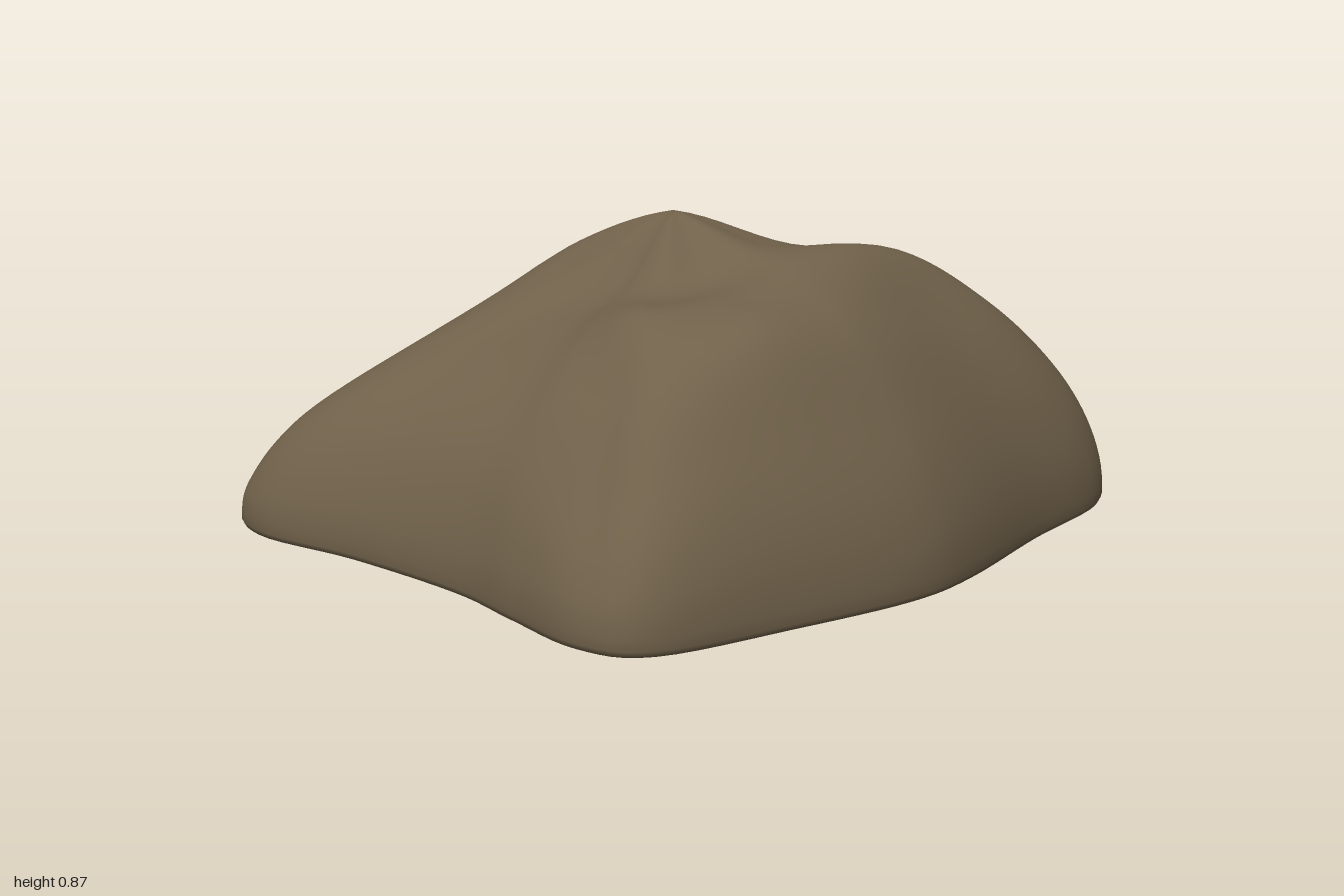
import * as THREE from 'three';
import { mergeVertices } from 'three/addons/utils/BufferGeometryUtils.js';

const PEAK = { x: -0.125, y: 0.865, z: 0.13 };

// One spoke per row, anticlockwise from the front: rim x, rim z, then heights from the peak outwards
const SPOKES = [
  [-0.04, 0.99, 0.785, 0.745, 0.61, 0.41],
  [0.35, 0.975, 0.78, 0.77, 0.60, 0.41],
  [0.72, 0.975, 0.77, 0.75, 0.60, 0.41],
  [0.89, 0.87, 0.76, 0.71, 0.57, 0.40],
  [0.905, 0.64, 0.755, 0.59, 0.52, 0.39],
  [0.86, 0.42, 0.75, 0.55, 0.50, 0.40],
  [0.90, 0.22, 0.755, 0.63, 0.57, 0.43],
  [0.985, 0.00, 0.74, 0.685, 0.585, 0.39],
  [0.99, -0.17, 0.73, 0.665, 0.55, 0.39],
  [0.86, -0.35, 0.72, 0.655, 0.54, 0.40],
  [0.60, -0.505, 0.71, 0.665, 0.555, 0.41],
  [0.33, -0.63, 0.70, 0.62, 0.49, 0.36],
  [0.20, -0.82, 0.70, 0.575, 0.44, 0.31],
  [0.05, -0.99, 0.72, 0.555, 0.41, 0.27],
  [-0.30, -0.95, 0.765, 0.595, 0.435, 0.30],
  [-0.74, -0.86, 0.70, 0.56, 0.42, 0.29],
  [-0.88, -0.68, 0.68, 0.55, 0.43, 0.30],
  [-0.87, -0.33, 0.68, 0.57, 0.46, 0.33],
  [-0.895, 0.05, 0.69, 0.605, 0.495, 0.36],
  [-0.95, 0.28, 0.70, 0.64, 0.515, 0.35],
  [-1.00, 0.52, 0.70, 0.67, 0.50, 0.31],
  [-0.93, 0.69, 0.70, 0.68, 0.555, 0.36],
  [-0.60, 0.84, 0.72, 0.70, 0.64, 0.42],
  [-0.28, 0.96, 0.76, 0.725, 0.62, 0.41],
];

function spline(a, b, c, d, t) {
  return 0.5 * (2 * b + (c - a) * t + (2 * a - 5 * b + 4 * c - d) * t * t + (3 * b - a - 3 * c + d) * t * t * t);
}

// Blend neighbouring spokes smoothly around the rock
function spokeAt(s) {
  const n = SPOKES.length, i = Math.floor(s);
  const row = (k) => SPOKES[(i + k + n) % n];
  return row(0).map((_, c) => spline(row(-1)[c], row(0)[c], row(1)[c], row(2)[c], s - i));
}

// Height along one spoke, u running from 0 at the peak to 1 at the rim
function heightAt(heights, u) {
  const h = [PEAK.y, ...heights, heights[3] * 0.53, 0.03];
  const i = Math.min(Math.floor(u * 6), 5);
  const before = i === 0 ? PEAK.y : h[i - 1];
  const after = i === 5 ? -0.2 : h[i + 2];
  return spline(before, h[i], h[i + 1], after, u * 6 - i);
}

function rockGeometry() {
  const around = SPOKES.length * 6, rings = 42;
  const positions = [], index = [];
  // Rings that turn under the rim and close the nearly flat base: [scale, y]
  const base = [[0.994, 0.016], [0.975, 0.01], [0.85, 0.008], [0, 0]];
  const total = rings + 1 + base.length;

  for (let r = 0; r < total; r++) {
    for (let j = 0; j < around; j++) {
      const [rx, rz, ...heights] = spokeAt(j / 6);
      const u = Math.min(r / rings, 1);
      const under = r > rings ? base[r - rings - 1] : null;
      const t = under ? under[0] : Math.sin(u * Math.PI / 2);
      const y = under ? under[1] : heightAt(heights, u);
      positions.push(PEAK.x + (rx - PEAK.x) * t, y, PEAK.z + (rz - PEAK.z) * t);
    }
  }
  for (let r = 0; r < total - 1; r++) {
    for (let j = 0; j < around; j++) {
      const k = (j + 1) % around;
      const a = r * around + j, b = a + around;
      const d = r * around + k, c = d + around;
      if (r < total - 2) index.push(a, b, c);
      else index.push(a, b, d);
      if (r > 0 && r < total - 2) index.push(a, c, d);
    }
  }

  const geometry = new THREE.BufferGeometry();
  geometry.setAttribute('position', new THREE.Float32BufferAttribute(positions, 3));
  geometry.setIndex(index);
  const merged = mergeVertices(geometry, 1e-5);
  merged.computeVertexNormals();
  return merged;
}

export function createModel() {
  const stone = new THREE.MeshStandardMaterial({ color: 0x70614a });
  stone.name = 'brown stone';

  const rock = new THREE.Mesh(rockGeometry(), stone);
  rock.name = 'rock';

  const model = new THREE.Group();
  model.name = 'boulder';
  model.add(rock);
  return model;
}
